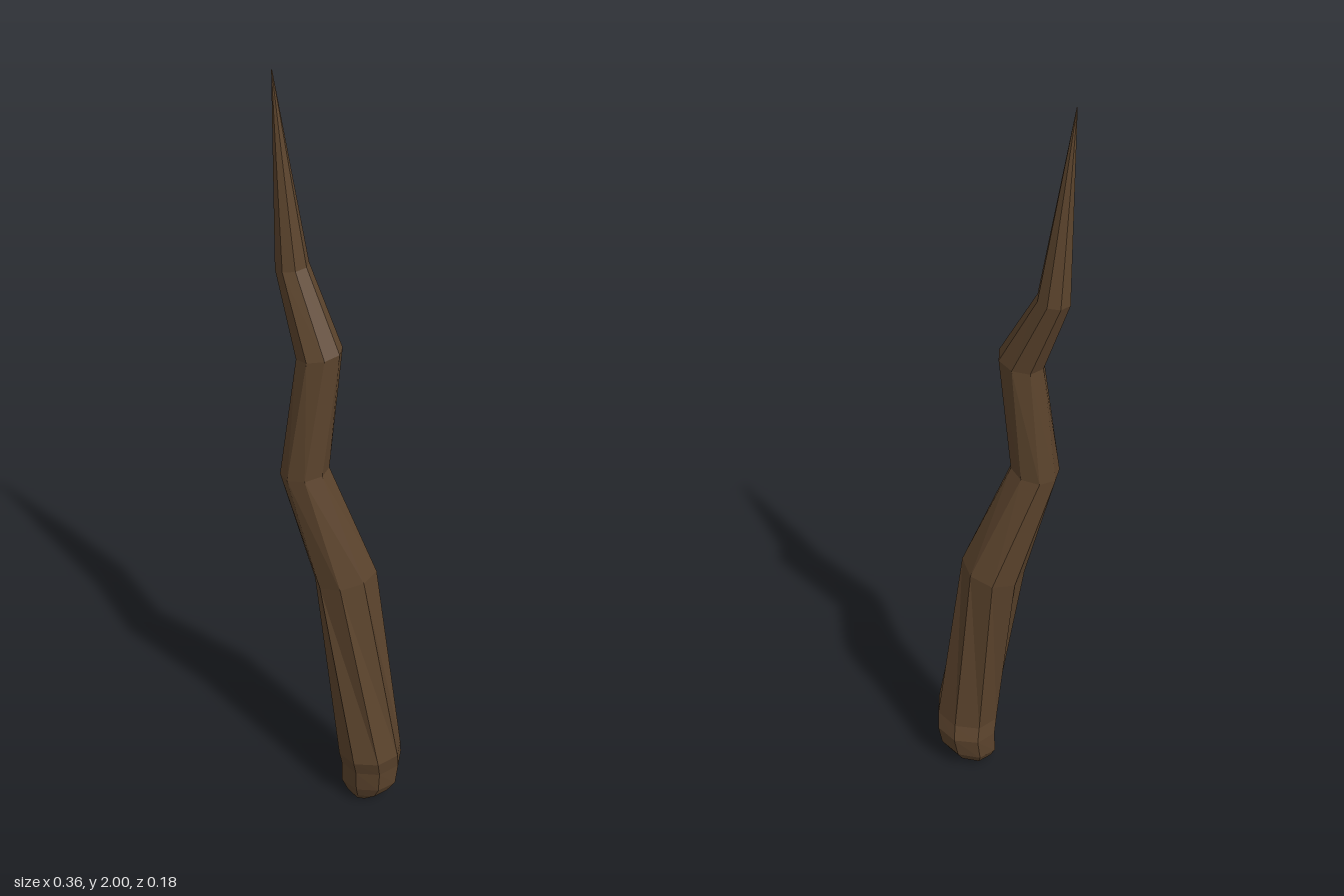
import * as THREE from 'three';

const SIDES = 8;

// Cross-sections from butt to tip: centre x, y, z, radii in x and z, tilt (rise per x), twist in degrees
const BUTT = [
  [0.078, 0.004, 0.012, 0.026, 0.022, 0, 0],
  [0.087, 0.026, -0.004, 0.06, 0.05, 0.15, 0],
  [0.09, 0.06, -0.008, 0.08, 0.067, 0.15, 0],
  [0.093, 0.125, -0.012, 0.083, 0.078, 0.1, 0],
  [0.095, 0.17, 0, 0.085, 0.08, 0.12, 0],
];
const SHAFT = [
  BUTT[BUTT.length - 1],
  [0.013, 0.705, -0.009, 0.078, 0.08, 0.28, 22.5],
  [-0.081, 1.01, 0.03, 0.06, 0.06, 0.17, 12],
  [-0.053, 1.335, 0.004, 0.056, 0.056, 0.22, 0],
  [-0.141, 1.53, -0.019, 0.04, 0.041, 0.15, 0],
  [-0.18, 2, -0.01, 0.001, 0.001, 0, 0],
];

function ring([cx, cy, cz, rx, rz, tilt, twist]) {
  return Array.from({ length: SIDES }, (_, i) => {
    const a = (i / SIDES) * Math.PI * 2 + THREE.MathUtils.degToRad(twist);
    const dx = rx * Math.cos(a);
    return [cx + dx, cy + dx * tilt, cz + rz * Math.sin(a)];
  });
}

// Faceted skin through the sections, with optional end caps
function loft(sections, capStart, capEnd) {
  const rings = sections.map(ring);
  const last = rings.length - 1;
  const pos = [];
  const tri = (a, b, c) => pos.push(...a, ...b, ...c);
  for (let i = 0; i < SIDES; i++) {
    const j = (i + 1) % SIDES;
    for (let k = 0; k < last; k++) {
      const lo = rings[k], hi = rings[k + 1];
      tri(lo[i], hi[i], hi[j]);
      tri(lo[i], hi[j], lo[j]);
    }
    if (capStart) tri(sections[0].slice(0, 3), rings[0][i], rings[0][j]);
    if (capEnd) tri(sections[last].slice(0, 3), rings[last][j], rings[last][i]);
  }
  const geo = new THREE.BufferGeometry();
  geo.setAttribute('position', new THREE.Float32BufferAttribute(pos, 3));
  geo.computeVertexNormals(); // unshared corners give flat facets
  return geo;
}

export function createModel() {
  const group = new THREE.Group();
  group.name = 'crookedWand';
  const wood = new THREE.MeshStandardMaterial({ color: 0x5c442d });
  wood.name = 'darkWood';

  // Rounded handle end
  const butt = new THREE.Mesh(loft(BUTT, true, false), wood);
  butt.name = 'handleEnd';

  // Crooked shaft tapering to a point
  const shaft = new THREE.Mesh(loft(SHAFT, false, true), wood);
  shaft.name = 'shaft';

  group.add(butt, shaft);
  return group;
}
